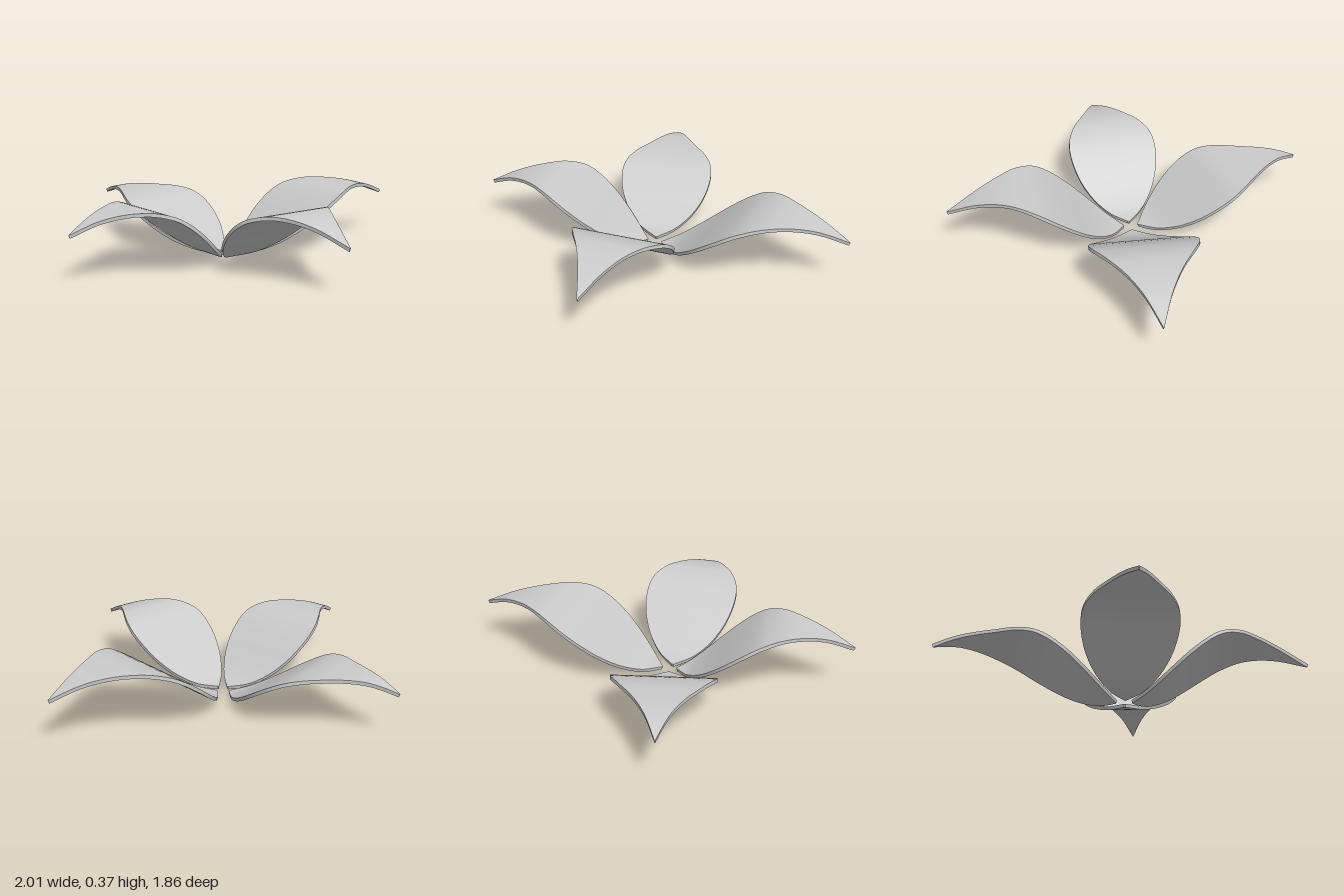
import * as THREE from 'three';

// Petal outline and arch, from base to tip:
// [share of length, height, half width as share of length]
const spine = new THREE.CatmullRomCurve3([
  [0, 0.01, 0.004], [0.075, 0.03, 0.093], [0.16, 0.08, 0.17], [0.24, 0.14, 0.222],
  [0.32, 0.205, 0.255], [0.42, 0.28, 0.27], [0.5, 0.327, 0.256], [0.6, 0.355, 0.205],
  [0.68, 0.356, 0.153], [0.76, 0.346, 0.107], [0.86, 0.32, 0.058], [1, 0.26, 0.002],
].map(([u, y, w]) => new THREE.Vector3(u, y, w)));

const THICKNESS = 0.02;

// Thin slab tapered to the outline and bent along its length
function petalGeometry(length, ridgeScale, tipScale) {
  const geometry = new THREE.BoxGeometry(1, 1, 1, 1, 1, 44);
  const pos = geometry.attributes.position;
  const centre = (t) => {
    const p = spine.getPoint(THREE.MathUtils.clamp(t, 0, 1));
    const blend = THREE.MathUtils.smoothstep(p.x, 0.6, 1);
    p.y *= THREE.MathUtils.lerp(ridgeScale, tipScale, blend);
    p.x *= length;
    p.z *= length;
    return p;
  };
  for (let i = 0; i < pos.count; i++) {
    const t = pos.getZ(i) + 0.5;
    const p = centre(t);
    const a = centre(t - 0.01), b = centre(t + 0.01);
    const slope = Math.atan2(b.y - a.y, b.x - a.x);
    const off = pos.getY(i) * THICKNESS;
    pos.setXYZ(
      i,
      pos.getX(i) * 2 * p.z,
      Math.max(0, p.y + Math.cos(slope) * off),
      p.x - Math.sin(slope) * off,
    );
  }
  geometry.computeVertexNormals();
  return geometry;
}

export function createModel() {
  const group = new THREE.Group();
  group.name = 'flower';
  const material = new THREE.MeshStandardMaterial({ color: 0xcccccc });

  // Base and tip of each petal in plan (x, z), with height scales
  const petals = [
    { name: 'leftPetal', base: [-0.04, -0.07], tip: [1, -0.49], ridge: 1, end: 1.02 },
    { name: 'frontPetal', base: [-0.07, -0.01], tip: [0.37, 0.92], ridge: 1.02, end: 0.96 },
    { name: 'rightPetal', base: [-0.12, -0.03], tip: [-1, 0.45], ridge: 1.01, end: 1.02 },
    { name: 'backPetal', base: [-0.11, -0.09], tip: [-0.75, -0.93], ridge: 0.83, end: 0.95 },
  ];
  for (const { name, base, tip, ridge, end } of petals) {
    const dx = tip[0] - base[0], dz = tip[1] - base[1];
    const mesh = new THREE.Mesh(petalGeometry(Math.hypot(dx, dz), ridge, end), material);
    mesh.name = name;
    mesh.position.set(base[0], 0, base[1]);
    mesh.rotation.y = Math.atan2(dx, dz);
    group.add(mesh);
  }
  return group;
}
